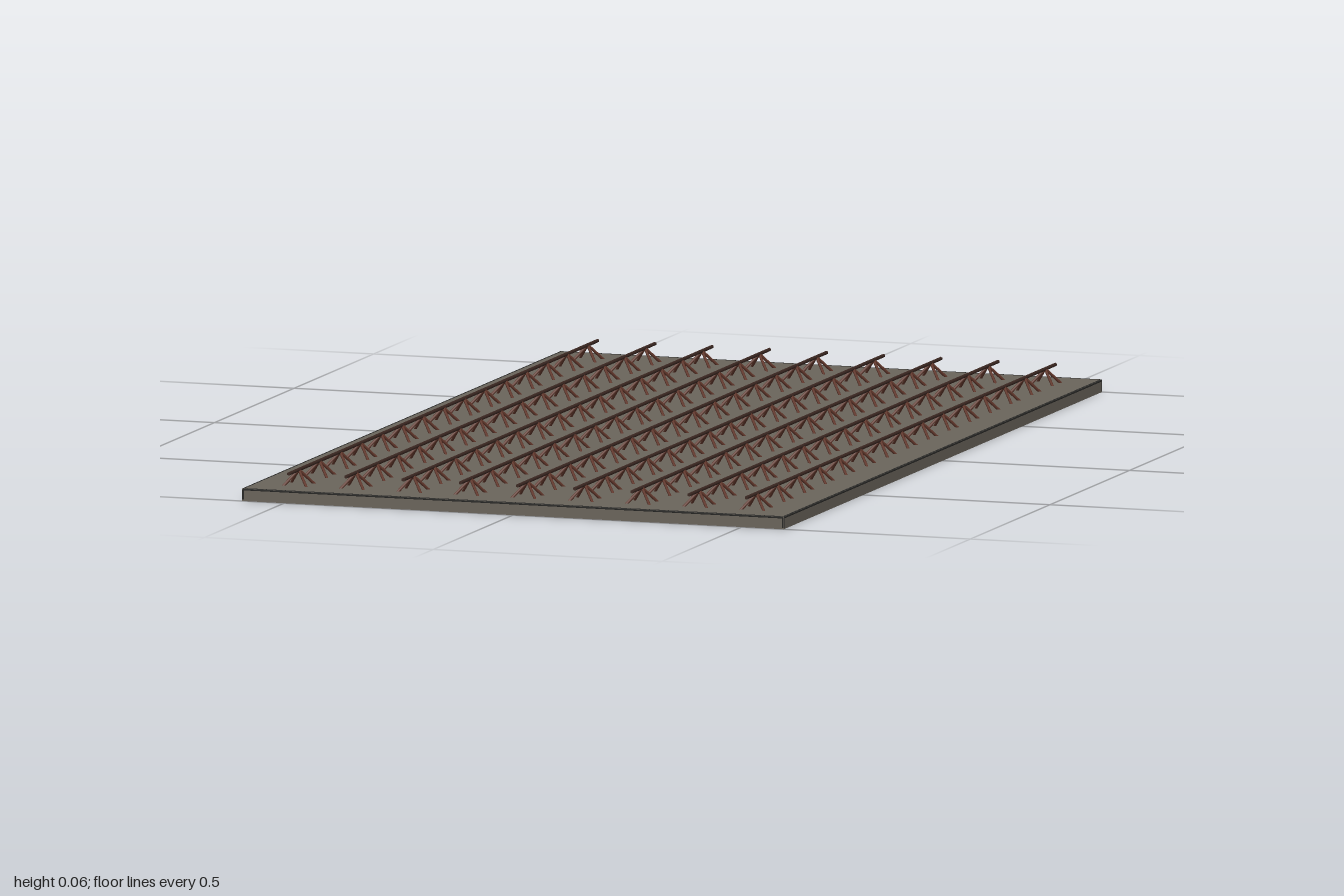
import * as THREE from 'three';
import { mergeGeometries } from 'three/addons/utils/BufferGeometryUtils.js';

const HALF_W = 0.593, HALF_L = 1, SLAB_TOP = 0.026;
const ROWS = 9, ROW_STEP = 0.125, STANDS = 15, STAND_STEP = 0.1296;
const WIRE_Y = 0.057, WIRE_HALF = 0.97, SPREAD = 0.026;
const UP = new THREE.Vector3(0, 1, 0);

// Straight bar between two points
function bar(a, b, radius, sides = 6) {
  const from = new THREE.Vector3(...a), to = new THREE.Vector3(...b);
  const dir = to.clone().sub(from);
  const geometry = new THREE.CylinderGeometry(radius, radius, dir.length(), sides);
  geometry.applyQuaternion(new THREE.Quaternion().setFromUnitVectors(UP, dir.normalize()));
  const mid = from.add(to).multiplyScalar(0.5);
  return geometry.translate(mid.x, mid.y, mid.z);
}

export function createModel() {
  const model = new THREE.Group();
  model.name = 'barbedMat';
  const add = (name, geometry, color, parent = model) => {
    const mesh = new THREE.Mesh(geometry, new THREE.MeshStandardMaterial({ color }));
    mesh.name = name;
    parent.add(mesh);
  };

  // Flat base slab
  const slab = new THREE.BoxGeometry(HALF_W * 2 - 0.002, SLAB_TOP, HALF_L * 2 - 0.002);
  add('baseSlab', slab.translate(0, SLAB_TOP / 2, 0), 0x6b655c);

  // Thin dark trim on the upper edges and the corners
  const trim = [], r = 0.003, tx = HALF_W - r, tz = HALF_L - r, ty = SLAB_TOP - r + 0.001;
  for (const s of [-1, 1]) {
    trim.push(bar([s * tx, ty, -tz], [s * tx, ty, tz], r));
    trim.push(bar([-tx, ty, s * tz], [tx, ty, s * tz], r));
    for (const t of [-1, 1]) trim.push(bar([s * tx, 0.003, t * tz], [s * tx, ty, t * tz], r));
  }
  add('edgeTrim', mergeGeometries(trim), 0x2b2b29);

  // Rows of long wires, each carried by four-legged stands
  for (let i = 0; i < ROWS; i++) {
    const x = (i - (ROWS - 1) / 2) * ROW_STEP;
    const row = new THREE.Group();
    row.name = `wireRow${i + 1}`;
    model.add(row);
    add('wire', bar([x, WIRE_Y, -WIRE_HALF], [x, WIRE_Y, WIRE_HALF], 0.004), 0x3c2822, row);

    const legs = [];
    for (let j = 0; j < STANDS; j++) {
      const z = (j - (STANDS - 1) / 2) * STAND_STEP;
      for (const sx of [-1, 1]) for (const sz of [-1, 1]) {
        legs.push(bar([x + sx * SPREAD, SLAB_TOP - 0.002, z + sz * SPREAD], [x, WIRE_Y, z], 0.003));
      }
    }
    add('standLegs', mergeGeometries(legs), 0x63382c, row);
  }
  return model;
}
